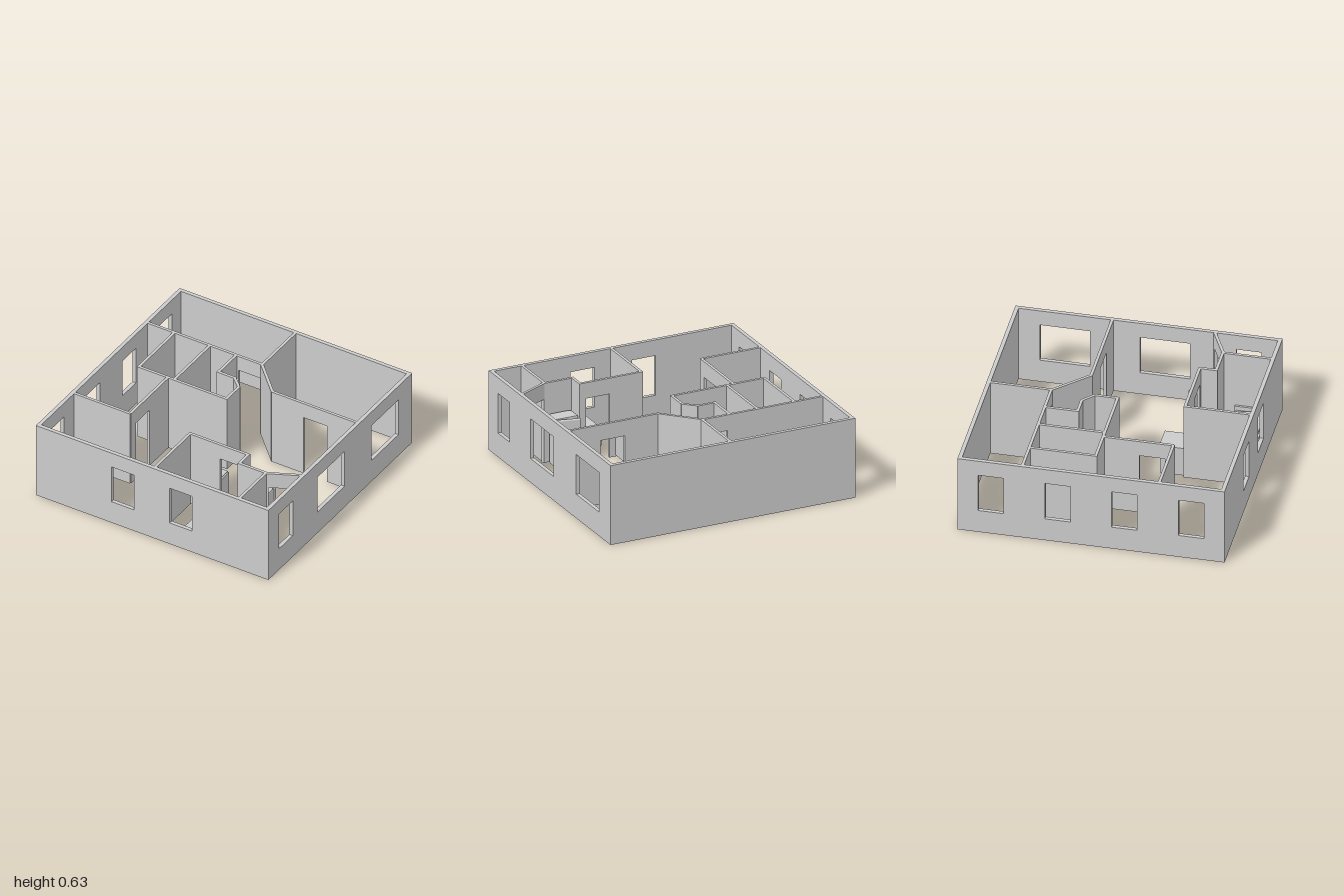
import * as THREE from 'three';
import { RoundedBoxGeometry } from 'three/addons/geometries/RoundedBoxGeometry.js';

const HEIGHT = 0.63, SILL = 0.19, HEAD = 0.505;
const material = new THREE.MeshStandardMaterial({ color: 0xcccccc });

function add(parent, name, geometry, x = 0, y = 0, z = 0, turn = 0) {
  const mesh = new THREE.Mesh(geometry, material);
  mesh.name = name;
  mesh.position.set(x, y, z);
  mesh.rotation.y = turn;
  parent.add(mesh);
  return mesh;
}

// Box given by its minimum and maximum corners
function box(parent, name, x0, y0, z0, x1, y1, z1) {
  return add(parent, name, new THREE.BoxGeometry(x1 - x0, y1 - y0, z1 - z0),
    (x0 + x1) / 2, (y0 + y1) / 2, (z0 + z1) / 2);
}

// Upright wall between two plan points; openings are [start, end] along its length
function wall(parent, name, [x0, z0], [x1, z1], { thick = 0.022, doors = [], windows = [] } = {}) {
  const length = Math.hypot(x1 - x0, z1 - z0);
  const shape = new THREE.Shape();
  shape.moveTo(0, 0);
  for (const [a, b] of doors) {
    shape.lineTo(a, 0);
    shape.lineTo(a, HEAD);
    shape.lineTo(b, HEAD);
    shape.lineTo(b, 0);
  }
  shape.lineTo(length, 0);
  shape.lineTo(length, HEIGHT);
  shape.lineTo(0, HEIGHT);
  shape.closePath();
  for (const [a, b] of windows) {
    const hole = new THREE.Path();
    hole.moveTo(a, SILL);
    hole.lineTo(a, HEAD);
    hole.lineTo(b, HEAD);
    hole.lineTo(b, SILL);
    hole.closePath();
    shape.holes.push(hole);
  }
  const geometry = new THREE.ExtrudeGeometry(shape, { depth: thick, bevelEnabled: false });
  geometry.translate(0, 0, -thick / 2);
  return add(parent, name, geometry, x0, 0, z0, -Math.atan2(z1 - z0, x1 - x0));
}

function outerWalls() {
  const g = new THREE.Group();
  g.name = 'outerWalls';
  const thick = 0.03, e = 0.985;
  wall(g, 'frontWall', [-1, e], [1, e], { thick, windows: [[0.65, 0.845], [1.15, 1.345]] });
  wall(g, 'backWall', [-1, -e], [1, -e], { thick });
  wall(g, 'rightWall', [e, -0.97], [e, 0.97],
    { thick, windows: [[0.16, 0.535], [0.91, 1.285], [1.63, 1.82]] });
  wall(g, 'leftWall', [-e, -0.97], [-e, 0.97],
    { thick, windows: [[0.125, 0.315], [0.625, 0.815], [1.125, 1.315], [1.625, 1.815]] });
  return g;
}

function innerWalls() {
  const g = new THREE.Group();
  g.name = 'innerWalls';
  // Back rooms
  wall(g, 'backDivider', [0.01, -0.97], [0.01, -0.51]);
  wall(g, 'backLeftRoomWall', [-0.97, -0.517], [0.018, -0.517], { doors: [[0.78, 0.965]] });
  wall(g, 'backRightDiagonal', [0.006, -0.517], [0.254, -0.266]);
  wall(g, 'backRightRoomWall', [0.25, -0.27], [0.97, -0.27], { doors: [[0.275, 0.475]] });
  // Small middle rooms
  wall(g, 'closetLeftWall', [-0.744, -0.51], [-0.744, -0.008]);
  wall(g, 'closetDivider', [-0.44, -0.51], [-0.44, -0.02]);
  wall(g, 'nicheSideWall', [-0.214, -0.51], [-0.214, -0.259]);
  wall(g, 'nicheBackWall', [-0.22, -0.27], [-0.072, -0.27]);
  wall(g, 'nicheDiagonal', [-0.078, -0.272], [0.012, -0.188]);
  wall(g, 'nicheEndWall', [0.01, -0.19], [0.01, -0.008]);
  wall(g, 'middleFrontWall', [-0.75, -0.019], [0.02, -0.019]);
  // Left room
  wall(g, 'leftRoomSideWall', [-0.494, -0.01], [-0.494, 0.51], { doors: [[0.265, 0.455]] });
  wall(g, 'leftRoomFrontWall', [-0.97, 0.507], [-0.49, 0.507]);
  // Bedroom and corner room
  wall(g, 'bedroomLeftWall', [0.01, 0.476], [0.01, 0.97]);
  wall(g, 'bedroomBackWall', [0.01, 0.486], [0.52, 0.486], { doors: [[0.265, 0.455]] });
  wall(g, 'bedroomStepWall', [0.51, 0.48], [0.51, 0.62]);
  wall(g, 'bedroomRecessWall', [0.5, 0.61], [0.745, 0.61]);
  wall(g, 'bedroomRightWall', [0.738, 0.605], [0.738, 0.97]);
  wall(g, 'cornerRoomDiagonal', [0.738, 0.613], [0.972, 0.5], { doors: [[0.02, 0.235]] });
  return g;
}

function bed() {
  const g = new THREE.Group();
  g.name = 'bed';
  box(g, 'bedFrame', 0.225, 0.09, 0.703, 0.715, 0.13, 0.945);
  box(g, 'mattress', 0.237, 0.13, 0.716, 0.712, 0.15, 0.932);
  box(g, 'headboard', 0.708, 0, 0.703, 0.724, 0.185, 0.945);
  for (const z of [0.703, 0.93]) box(g, 'bedLeg', 0.225, 0, z, 0.24, 0.09, z + 0.015);
  add(g, 'pillow', new RoundedBoxGeometry(0.125, 0.02, 0.15, 2, 0.008), 0.625, 0.158, 0.805, 0.22);
  return g;
}

function counter() {
  const g = new THREE.Group();
  g.name = 'counter';
  box(g, 'counterBody', 0.022, 0, 0.294, 0.208, 0.22, 0.474);
  box(g, 'counterTop', 0.022, 0.22, 0.288, 0.212, 0.24, 0.475);
  box(g, 'counterFront', 0.208, 0.01, 0.29, 0.224, 0.235, 0.475);
  return g;
}

// Upright cabinet with rounded front corners and a door left ajar
function fridge() {
  const g = new THREE.Group();
  g.name = 'refrigerator';
  const plan = new THREE.Shape();
  plan.moveTo(-0.09, 0.06);
  plan.lineTo(0.09, 0.06);
  plan.lineTo(0.09, -0.035);
  plan.quadraticCurveTo(0.09, -0.06, 0.065, -0.06);
  plan.lineTo(-0.065, -0.06);
  plan.quadraticCurveTo(-0.09, -0.06, -0.09, -0.035);
  plan.closePath();
  const body = new THREE.ExtrudeGeometry(plan, { depth: 0.37, bevelEnabled: true,
    bevelSize: 0.008, bevelThickness: 0.01, bevelOffset: -0.008, bevelSegments: 2 });
  body.rotateX(Math.PI / 2); // plan y becomes z, extruded downwards
  body.scale(1, 1, -1);
  // Mirroring flips the faces, so swap two corners of each triangle
  const p = body.attributes.position;
  const a = new THREE.Vector3(), b = new THREE.Vector3();
  for (let i = 0; i < p.count; i += 3) {
    a.fromBufferAttribute(p, i);
    b.fromBufferAttribute(p, i + 1);
    p.setXYZ(i, b.x, b.y, b.z);
    p.setXYZ(i + 1, a.x, a.y, a.z);
  }
  body.computeVertexNormals();
  add(g, 'fridgeBody', body, 0.627, 0.38, 0.525);
  add(g, 'fridgeDoor', new RoundedBoxGeometry(0.18, 0.38, 0.024, 2, 0.01), 0.63, 0.2, 0.425, -0.24);
  return g;
}

export function createModel() {
  const house = new THREE.Group();
  house.name = 'house';
  house.add(outerWalls(), innerWalls(), bed(), counter(), fridge());
  return house;
}
